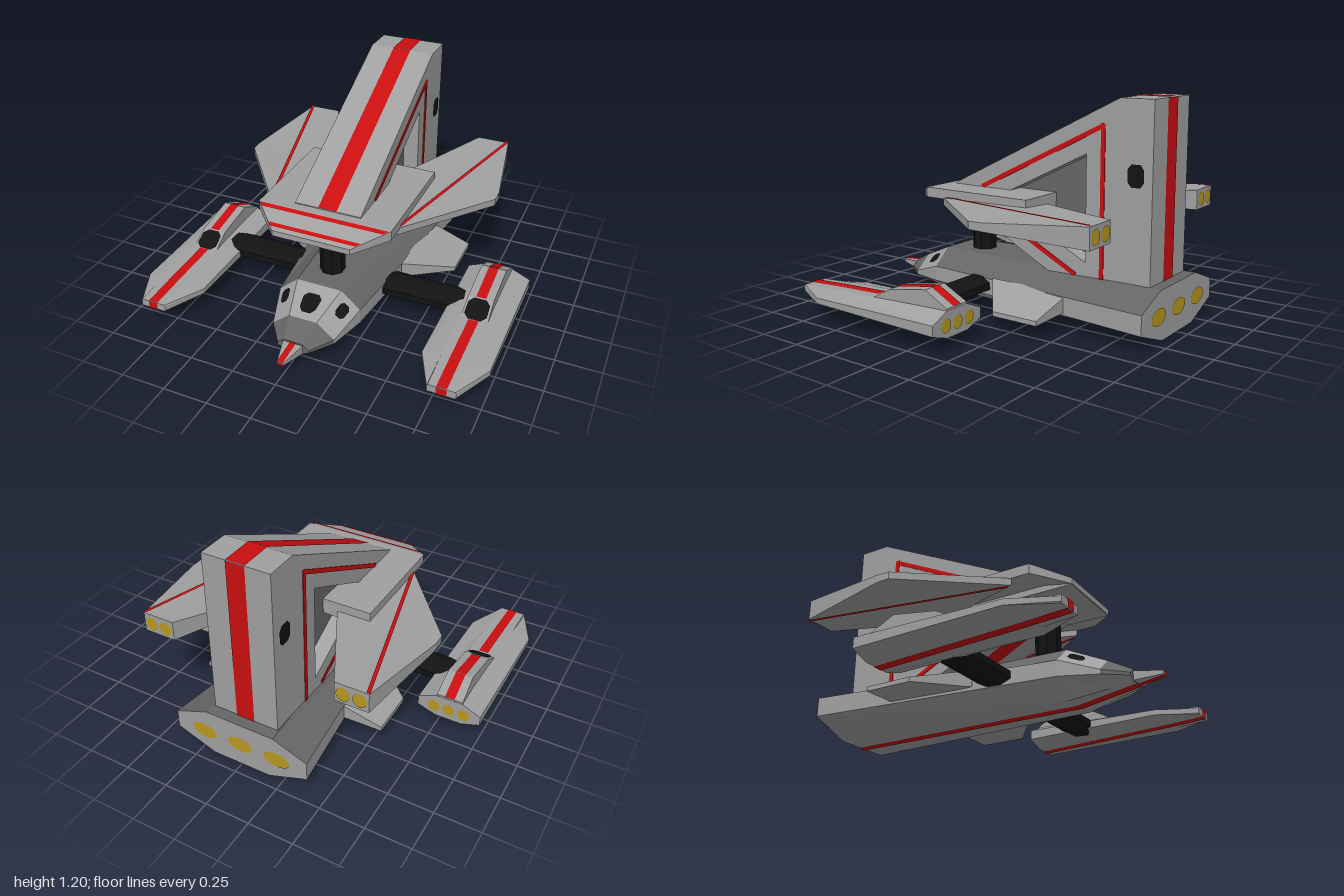
import * as THREE from 'three';

const mat = (name, color) => Object.assign(new THREE.MeshStandardMaterial({ color, flatShading: true }), { name });
const light = mat('light grey', 0xa0a0a0);
const dark = mat('dark grey', 0x666666);
const red = mat('red', 0xc80e10);
const black = mat('black', 0x121212);
const yellow = mat('engine yellow', 0xb8981f);

const V = (x, y, z) => new THREE.Vector3(x, y, z);

// Mesh from flat polygons, corners counter-clockwise from outside
function polyMesh(name, polys, material) {
  const pos = [];
  for (const p of polys)
    for (let i = 1; i < p.length - 1; i++)
      for (const v of [p[0], p[i], p[i + 1]]) pos.push(v.x, v.y, v.z);
  const g = new THREE.BufferGeometry();
  g.setAttribute('position', new THREE.Float32BufferAttribute(pos, 3));
  g.computeVertexNormals();
  return meshOf(name, g, material);
}
function meshOf(name, geometry, material) {
  const m = new THREE.Mesh(geometry, material);
  m.name = name;
  return m;
}
const mirror = polys => polys.map(p => p.map(v => V(-v.x, v.y, v.z)).reverse());

// Eight-cornered cross-section: 0 bottom, 1 lower, 2 side, 3 upper, 4 top, then the other side
const ring = (z, b, y0, w, yl, yu, t, yt) =>
  [[-b, y0], [b, y0], [w, yl], [w, yu], [t, yt], [-t, yt], [-w, yu], [-w, yl]].map(([x, y]) => V(x, y, z));
const box = (z, w, y0, y1) => [V(-w, y0, z), V(w, y0, z), V(w, y1, z), V(-w, y1, z)];

// Quad number i between two rings
const quad = (a, b, i) => {
  const j = (i + 1) % a.length;
  return [a[i], a[j], b[j], b[i]];
};
function loft(rings) {
  const out = [[...rings[0]].reverse(), rings[rings.length - 1]];
  for (let s = 0; s < rings.length - 1; s++)
    for (let i = 0; i < rings[0].length; i++) out.push(quad(rings[s], rings[s + 1], i));
  return out;
}

// Chamfered window plate laid on a quad
function pane(q, u0, u1, v0, v1) {
  const n = q[2].clone().sub(q[0]).cross(q[3].clone().sub(q[1])).normalize().multiplyScalar(0.005);
  const c = 0.22;
  return [[c, 0], [1 - c, 0], [1, c], [1, 1 - c], [1 - c, 1], [c, 1], [0, 1 - c], [0, c]].map(([a, b]) => {
    const u = u0 + (u1 - u0) * a, v = v0 + (v1 - v0) * b;
    return q[0].clone().lerp(q[1], u).lerp(q[3].clone().lerp(q[2], u), v).add(n);
  });
}

// Ribbon of half-width h along a [y, z] path, lifted off the surface
function ribbon(path, h) {
  const out = [];
  for (let i = 0; i < path.length - 1; i++) {
    const [[y0, z0], [y1, z1]] = [path[i], path[i + 1]];
    const l = Math.hypot(y1 - y0, z1 - z0);
    const oy = 0.004 * (z1 - z0) / l, oz = -0.004 * (y1 - y0) / l;
    out.push([V(-h, y0 + oy, z0 + oz), V(-h, y1 + oy, z1 + oz), V(h, y1 + oy, z1 + oz), V(h, y0 + oy, z0 + oz)]);
  }
  return out;
}

// Glowing nozzle disc facing backwards
function nozzle(x, y, z, rx, ry) {
  const m = meshOf('engineNozzle', new THREE.CircleGeometry(1, 20), yellow);
  m.scale.set(rx, ry, 1);
  m.rotation.y = Math.PI;
  m.position.set(x, y, z - 0.004);
  return m;
}

function makeHull() {
  const g = new THREE.Group();
  g.name = 'hull';
  const r = [
    ring(-0.94, 0.17, 0, 0.395, 0.085, 0.19, 0.2, 0.265),
    ring(0.48, 0.11, 0, 0.24, 0.085, 0.17, 0.13, 0.265),
    ring(0.68, 0.07, 0.035, 0.18, 0.075, 0.1, 0.08, 0.18),
    ring(0.8, 0.05, 0.055, 0.09, 0.075, 0.09, 0.05, 0.12),
  ];
  const lights = [[...r[0]].reverse()], darks = [r[3]];
  for (let s = 0; s < 3; s++)
    for (let i = 0; i < 8; i++) {
      const upper = i >= 3 && i <= 5;
      const isDark = (s === 0 && upper) || (s === 2 && i >= 2 && i <= 6);
      (isDark ? darks : lights).push(quad(r[s], r[s + 1], i));
    }
  g.add(polyMesh('hullSides', lights, light), polyMesh('hullTop', darks, dark));
  // Cockpit windows
  const sideWindow = pane(quad(r[1], r[2], 3), 0.28, 0.72, 0.16, 0.54);
  sideWindow.reverse();
  const panes = [pane(quad(r[1], r[2], 4), 0.26, 0.74, 0.28, 0.82), [...sideWindow].reverse()];
  panes.push(...mirror([panes[1]]));
  g.add(polyMesh('cockpitWindows', panes, black));
  // Nose spike and keel stripe
  g.add(polyMesh('noseSpike', loft([box(0.78, 0.062, 0.058, 0.112), box(0.94, 0.018, 0.078, 0.096)]), light));
  g.add(polyMesh('noseStripe', ribbon([[0.11, 0.79], [0.096, 0.94], [0.078, 0.94], [0.055, 0.8]], 0.017), red));
  g.add(polyMesh('keelStripe', ribbon([[0.055, 0.8], [0.035, 0.68], [0, 0.48], [0, -0.94]], 0.028), red));
  for (const x of [-0.22, 0, 0.22]) g.add(nozzle(x, 0.135, -0.94, 0.075, 0.045));
  // Stub fins on the flanks
  const stub = [[0.3, 0.1, 0.19], [0.56, 0.085, 0.11]].map(([x, y0, y1], k) => {
    const zf = k ? -0.18 : 0.02, zr = k ? -0.45 : -0.47;
    return [V(x, y0, zf), V(x, y0, zr), V(x, y1, zr), V(x, y1, zf)];
  });
  const stubPolys = loft(stub);
  g.add(polyMesh('leftStubFin', stubPolys, light), polyMesh('rightStubFin', mirror(stubPolys), light));
  return g;
}

function makePod(side) {
  const g = new THREE.Group();
  g.name = side > 0 ? 'leftPod' : 'rightPod';
  g.add(polyMesh('podBody', loft([
    ring(-0.17, 0.075, 0.065, 0.178, 0.1, 0.155, 0.075, 0.2),
    ring(0.63, 0.075, 0.1, 0.178, 0.115, 0.145, 0.075, 0.168),
    ring(0.85, 0.07, 0.113, 0.075, 0.12, 0.145, 0.07, 0.155),
  ]), light));
  const h = [box(-0.168, 0.074, 0.12, 0.21), box(-0.03, 0.07, 0.12, 0.28), box(0.21, 0.07, 0.12, 0.24), box(0.335, 0.074, 0.12, 0.172)];
  g.add(polyMesh('podCabin', loft(h), light));
  g.add(polyMesh('podWindow', [pane(quad(h[2], h[3], 2), 0.08, 0.92, 0.05, 0.93)], black));
  g.add(polyMesh('podStripes', [
    ...ribbon([[0.21, -0.168], [0.28, -0.03], [0.24, 0.21]], 0.027),
    ...ribbon([[0.18, 0.335], [0.168, 0.63], [0.155, 0.85], [0.113, 0.85], [0.1, 0.63], [0.065, -0.17]], 0.027),
  ], red));
  for (const x of [-0.085, 0, 0.085]) g.add(nozzle(x, 0.13, -0.17, 0.034, 0.036));
  g.position.x = side * 0.822;
  return g;
}

function makeWings() {
  const g = new THREE.Group();
  g.name = 'upperWing';
  // Central slab with sloping front
  g.add(polyMesh('wingSlab', loft([
    box(-0.26, 0.38, 0.61, 0.665), box(0.41, 0.38, 0.61, 0.665), box(0.57, 0.22, 0.578, 0.61),
  ]), light));
  g.add(polyMesh('wingSlabKeel', loft([box(-0.26, 0.22, 0.575, 0.62), box(0.565, 0.22, 0.575, 0.608)]), light));
  const across = t => [0.38 - 0.16 * t, 0.67 - 0.055 * t, 0.41 + 0.16 * t];
  g.add(polyMesh('slabStripes', [[0.06, 0.21], [0.73, 0.87]].map(([a, b]) => {
    const [x0, y0, z0] = across(a), [x1, y1, z1] = across(b);
    return [V(-x0, y0, z0), V(-x1, y1, z1), V(x1, y1, z1), V(x0, y0, z0)];
  }), red));
  // Swept wings, thickening towards the rear: [x, z, bottom, top]
  const plan = [
    [0.66, -0.81, 0.538, 0.65], [0.475, -0.81, 0.538, 0.65], [0.19, -0.27, 0.575, 0.615],
    [0.37, 0.3, 0.575, 0.615], [0.755, -0.19, 0.575, 0.615], [0.755, -0.27, 0.573, 0.617],
  ];
  const top = plan.map(([x, z, , t]) => V(x, t, z));
  const bottom = plan.map(([x, z, b]) => V(x, b, z));
  const polys = [top, [bottom[0], ...bottom.slice(1).reverse()]];
  top.forEach((v, i) => {
    const j = (i + 1) % top.length;
    polys.push([bottom[i], bottom[j], top[j], v]);
  });
  // Red line from wing root to rear corner, above and below
  const line = (y0, y1) => [V(0.365, y0, 0.28), V(0.385, y0, 0.28), V(0.665, y1, -0.81), V(0.645, y1, -0.81)];
  const lines = [line(0.621, 0.656), line(0.569, 0.532).reverse()];
  for (const [n, f] of [['left', p => p], ['right', mirror]])
    g.add(polyMesh(n + 'Wing', f(polys), light), polyMesh(n + 'WingLines', f(lines), red));
  for (const s of [-1, 1]) for (const x of [0.523, 0.612]) g.add(nozzle(s * x, 0.594, -0.81, 0.038, 0.04));
  return g;
}

function makeFin() {
  const g = new THREE.Group();
  g.name = 'tailFin';
  // Side profile drawn as [z, y] with a triangular opening
  const pts = a => a.map(([z, y]) => new THREE.Vector2(-z, y));
  const shape = new THREE.Shape(pts([[-0.875, 0.25], [-0.875, 1.19], [-0.69, 1.19], [0.36, 0.67], [0.36, 0.578], [-0.28, 0.25]]));
  const tri = pts([[-0.5, 0.9], [-0.5, 0.335], [0.07, 0.618]]);
  shape.holes.push(new THREE.Path(tri));
  const solid = (s, w) => new THREE.ExtrudeGeometry(s, { depth: w, bevelEnabled: false }).translate(0, 0, -w / 2).rotateY(Math.PI / 2);
  g.add(meshOf('finFrame', solid(shape, 0.38), light));
  g.add(meshOf('finRecess', solid(new THREE.Shape(tri), 0.2), dark));
  g.add(polyMesh('finStripe', [
    ...ribbon([[0.578, 0.36], [0.25, -0.28]], 0.053),
    ...ribbon([[0.265, -0.875], [1.19, -0.875], [1.19, -0.69], [0.67, 0.36]], 0.053),
  ], red));
  // Red outline and rear window on both sides
  for (const s of [-1, 1]) {
    for (const [z0, y0, z1, y1] of [[-0.597, 0.255, -0.597, 1.06], [-0.6, 1.05, 0.17, 0.668], [0.17, 0.57, -0.44, 0.262]]) {
      const m = meshOf('finOutline', new THREE.BoxGeometry(0.008, Math.hypot(z1 - z0, y1 - y0), 0.024), red);
      m.position.set(s * 0.19, (y0 + y1) / 2, (z0 + z1) / 2);
      m.rotation.x = Math.atan2(z1 - z0, y1 - y0);
      g.add(m);
    }
    const a = s > 0 ? -0.74 : -0.83, b = s > 0 ? -0.83 : -0.74;
    const q = [V(s * 0.19, 0.755, a), V(s * 0.19, 0.755, b), V(s * 0.19, 0.87, b), V(s * 0.19, 0.87, a)];
    g.add(polyMesh('finWindow', [pane(q, 0, 1, 0, 1)], black));
  }
  return g;
}

export function createModel() {
  const model = new THREE.Group();
  model.name = 'spacecraft';
  model.add(makeHull(), makeWings(), makeFin());
  for (const s of [-1, 1]) {
    model.add(makePod(s));
    // Strut joining pod and hull
    const strut = meshOf('podStrut', new THREE.CylinderGeometry(0.098, 0.098, 0.54, 8).rotateY(Math.PI / 8).rotateZ(Math.PI / 2), black);
    strut.scale.y = 0.5;
    strut.position.set(s * 0.46, 0.135, 0.14);
    model.add(strut);
  }
  // Column between hull and upper wing
  const column = meshOf('wingColumn', new THREE.CylinderGeometry(0.07, 0.07, 0.34, 8).rotateY(Math.PI / 8), black);
  column.position.set(0, 0.42, 0.307);
  model.add(column);
  return model;
}
